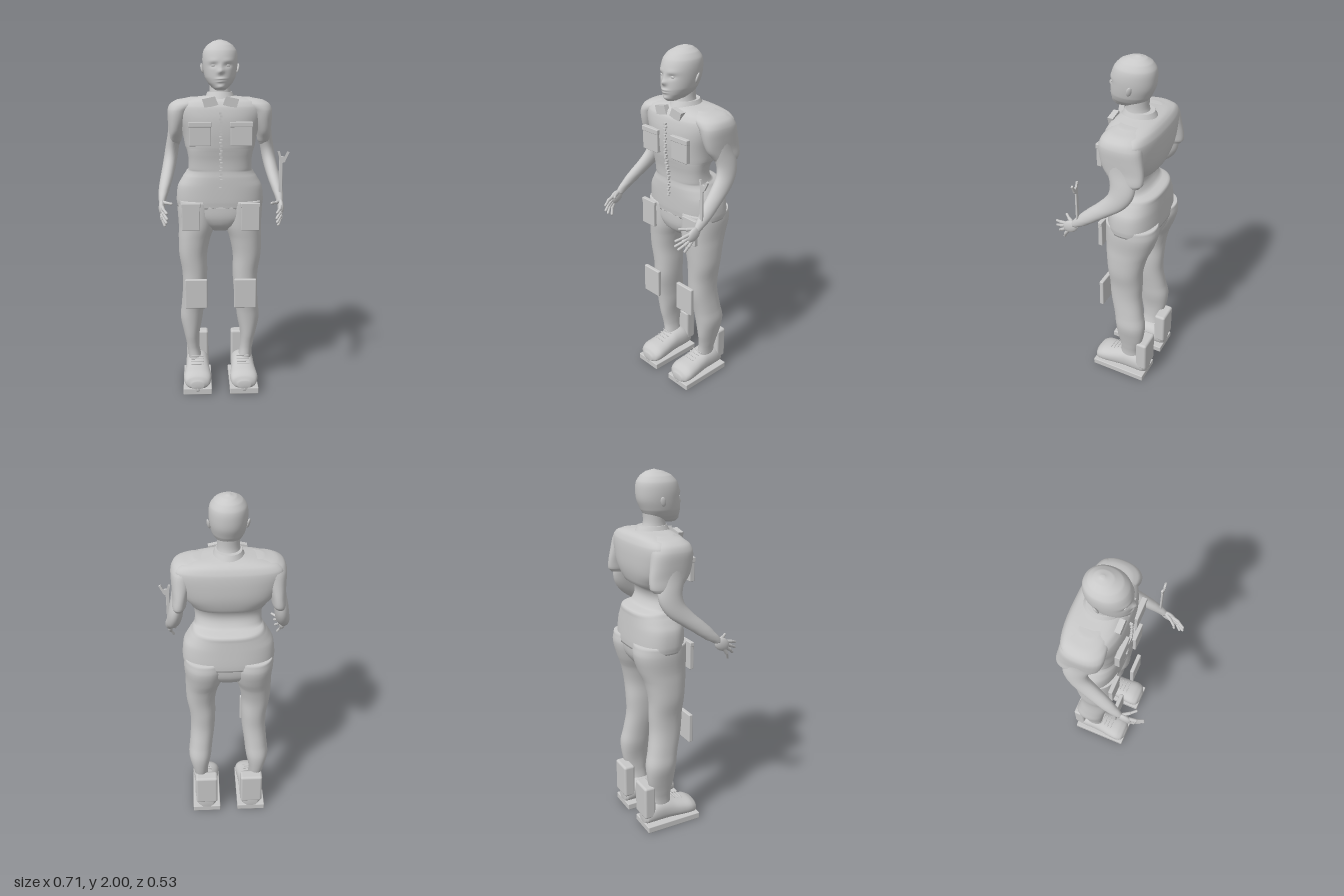
import * as THREE from 'three';
import { RoundedBoxGeometry } from 'three/addons/geometries/RoundedBoxGeometry.js';

const grey = new THREE.MeshStandardMaterial({ color: 0xc8c8c8 });
grey.name = 'plain grey';

function add(parent, name, geometry, x = 0, y = 0, z = 0) {
  const mesh = new THREE.Mesh(geometry, grey);
  mesh.name = name;
  mesh.position.set(x, y, z);
  parent.add(mesh);
  return mesh;
}

// Smooth closed skin through horizontal rings [y, centreX, halfX, backZ, frontZ], listed upwards.
function loft(rings, { power = 2, sides = 32, steps = 4, shape = null } = {}) {
  const pos = [], index = [], last = (rings.length - 1) * steps;
  const spline = (a, b, c, d, t) =>
    b + 0.5 * t * (c - a + t * (2 * a - 5 * b + 4 * c - d + t * (3 * (b - c) + d - a)));
  const at = (i) => rings[Math.max(0, Math.min(rings.length - 1, i))];
  const bend = (v) => Math.sign(v) * Math.abs(v) ** (2 / power);
  for (let r = 0; r <= last; r++) {
    const i = Math.floor(r / steps), t = r / steps - i;
    const [, cx, rx, z0, z1] = at(i).map((b, k) => spline(at(i - 1)[k], b, at(i + 1)[k], at(i + 2)[k], t));
    const y = at(i)[0] + (at(i + 1)[0] - at(i)[0]) * t;
    for (let s = 0; s < sides; s++) {
      const a = (s / sides) * Math.PI * 2;
      const p = new THREE.Vector3(cx + rx * bend(Math.cos(a)), y, (z0 + z1) / 2 + ((z1 - z0) / 2) * bend(Math.sin(a)));
      if (shape) shape(p);
      pos.push(p.x, p.y, p.z);
      if (r < last) {
        const n = (s + 1) % sides, b = r * sides, u = b + sides;
        index.push(b + s, u + s, b + n, u + s, u + n, b + n);
      }
    }
  }
  // end caps
  for (const [row, ring] of [[0, at(0)], [last, at(rings.length)]]) {
    const c = pos.length / 3;
    pos.push(ring[1], ring[0], (ring[3] + ring[4]) / 2);
    for (let s = 0; s < sides; s++) {
      const a = row * sides + s, b = row * sides + ((s + 1) % sides);
      index.push(c, ...(row ? [b, a] : [a, b]));
    }
  }
  const g = new THREE.BufferGeometry();
  g.setAttribute('position', new THREE.Float32BufferAttribute(pos, 3));
  g.setIndex(index);
  g.computeVertexNormals();
  return g;
}

const bump = (x, y, cx, cy, sx, sy) => Math.exp(-(((x - cx) / sx) ** 2) - ((y - cy) / sy) ** 2);

// Rounded rod between two points
function rod(parent, name, a, b, radius) {
  const from = new THREE.Vector3(...a), to = new THREE.Vector3(...b);
  const dir = to.clone().sub(from);
  const mesh = add(parent, name, new THREE.CapsuleGeometry(radius, dir.length(), 4, 10));
  mesh.position.copy(from).add(to).multiplyScalar(0.5);
  mesh.quaternion.setFromUnitVectors(new THREE.Vector3(0, 1, 0), dir.normalize());
  return mesh;
}

function buildHead(body) {
  // Nose, brows, eye sockets, lips and chin are raised from the front of the skull
  const face = (p) => {
    if (p.z < 0) return;
    const x = Math.abs(p.x), y = p.y;
    p.z += 0.016 * bump(x, y, 0, 1.83, 0.016, 0.013) + 0.008 * bump(x, y, 0, 1.85, 0.011, 0.022)
      + 0.004 * bump(x, y, 0.04, 1.885, 0.03, 0.012) - 0.008 * bump(x, y, 0.038, 1.862, 0.02, 0.012)
      + 0.008 * bump(x, y, 0, 1.792, 0.024, 0.006) + 0.007 * bump(x, y, 0, 1.778, 0.02, 0.005)
      + 0.006 * bump(x, y, 0, 1.75, 0.02, 0.01);
  };
  add(body, 'head', loft([
    [1.732, 0, 0.026, -0.03, 0.045], [1.745, 0, 0.045, -0.1, 0.057], [1.77, 0, 0.067, -0.13, 0.062],
    [1.8, 0, 0.083, -0.15, 0.064], [1.85, 0, 0.093, -0.17, 0.062], [1.9, 0, 0.096, -0.175, 0.058],
    [1.94, 0, 0.09, -0.17, 0.043], [1.97, 0, 0.069, -0.15, 0.015], [1.99, 0, 0.039, -0.122, -0.028],
    [2, 0, 0.008, -0.09, -0.07],
  ], { sides: 64, steps: 8, shape: face, power: 2.1 }));
  add(body, 'neck', loft([
    [1.65, 0, 0.085, -0.18, 0.0], [1.7, 0, 0.064, -0.15, -0.01], [1.74, 0, 0.057, -0.137, -0.02], [1.8, 0, 0.058, -0.14, -0.02],
  ]));
  for (const s of [-1, 1]) {
    add(body, 'eye', new THREE.SphereGeometry(0.011, 16, 10), s * 0.037, 1.861, 0.043).scale.set(1.3, 0.6, 0.7);
    const ear = add(body, 'ear', new THREE.SphereGeometry(0.027, 16, 12), s * 0.097, 1.848, -0.075);
    ear.scale.set(0.28, 1, 0.5);
    ear.rotation.set(-0.15, s * 0.5, s * -0.2);
  }
}

function buildJacket(body) {
  // The shoulder blades are broad and flat
  const blades = (p) => {
    const rise = THREE.MathUtils.smoothstep(p.y, 1.41, 1.5) * THREE.MathUtils.smoothstep(-p.z, 0.1, 0.23);
    p.x *= 1 + 0.3 * rise;
  };
  add(body, 'jacket', loft([
    [1.08, 0, 0.243, -0.252, 0.029], [1.12, 0, 0.247, -0.252, 0.033], [1.2, 0, 0.238, -0.246, 0.035],
    [1.255, 0, 0.207, -0.241, 0.035], [1.285, 0, 0.188, -0.235, 0.032], [1.3, 0, 0.178, -0.18, 0.032],
    [1.35, 0, 0.176, -0.155, 0.036], [1.4, 0, 0.184, -0.168, 0.045], [1.425, 0, 0.195, -0.215, 0.05],
    [1.5, 0, 0.21, -0.238, 0.057], [1.58, 0, 0.238, -0.242, 0.057], [1.64, 0, 0.25, -0.237, 0.046],
    [1.672, 0, 0.225, -0.222, 0.026], [1.69, 0, 0.15, -0.2, 0], [1.703, 0, 0.06, -0.15, -0.03],
  ], { power: 2.5, sides: 56, shape: blades }));
  // standing collar and its two front flaps
  const collar = add(body, 'collar', new THREE.CylinderGeometry(0.068, 0.085, 0.035, 32), 0, 1.703, -0.09);
  collar.scale.z = 1.15;
  for (const s of [-1, 1]) {
    const shape = new THREE.Shape([[0.012, 1.655], [0.085, 1.635], [0.1, 1.685], [0.03, 1.7]]
      .map(([x, y]) => new THREE.Vector2(s * x, y)));
    add(body, 'collarFlap', new THREE.ExtrudeGeometry(shape, { depth: 0.03, bevelEnabled: false }), 0, 0, 0.012);
    // chest pocket with flap
    add(body, 'chestPocket', new RoundedBoxGeometry(0.118, 0.115, 0.028, 2, 0.004), s * 0.112, 1.494, 0.056);
    add(body, 'chestPocketFlap', new RoundedBoxGeometry(0.125, 0.028, 0.028, 2, 0.004), s * 0.112, 1.552, 0.06);
  }
  // zip
  for (let i = 0; i < 27; i++) {
    const y = 1.2 + i * 0.0158, z = 0.043 + 0.022 * Math.min(1, Math.max(0, (y - 1.3) / 0.15));
    add(body, 'zipTooth', new THREE.BoxGeometry(0.014, 0.009, 0.03), i % 2 ? 0.003 : -0.003, y, z - 0.013);
  }
}

function buildArm(body, s) {
  add(body, 'arm', loft([
    [1.135, s * 0.318, 0.017, 0.1, 0.15], [1.16, s * 0.317, 0.022, 0.055, 0.14], [1.195, s * 0.311, 0.029, 0.005, 0.11],
    [1.24, s * 0.301, 0.034, -0.06, 0.068], [1.3, s * 0.288, 0.037, -0.142, 0.002], [1.36, s * 0.277, 0.038, -0.185, -0.05],
    [1.42, s * 0.267, 0.038, -0.197, -0.06], [1.5, s * 0.251, 0.04, -0.185, -0.035], [1.58, s * 0.24, 0.048, -0.18, -0.025],
  ], { sides: 24 }));
  // short sleeve running over the shoulder into the jacket
  add(body, 'sleeve', loft([
    [1.43, s * 0.256, 0.03, -0.215, -0.07], [1.45, s * 0.253, 0.037, -0.232, -0.05], [1.5, s * 0.246, 0.041, -0.232, -0.01],
    [1.56, s * 0.237, 0.053, -0.222, 0.01], [1.62, s * 0.225, 0.066, -0.212, 0.018], [1.655, s * 0.192, 0.085, -0.204, 0.012],
    [1.678, s * 0.155, 0.085, -0.185, -0.012], [1.692, s * 0.115, 0.055, -0.15, -0.045],
  ], { sides: 28, power: 2.3 }));
  // palm, four fingers and thumb
  const palm = add(body, 'palm', new THREE.SphereGeometry(0.045, 18, 12), s * 0.319, 1.119, 0.155);
  palm.scale.set(0.38, 0.78, 1.05);
  palm.rotation.x = 0.55;
  const fingers = [
    [[0.315, 1.128, 0.185], [0.308, 1.12, 0.22], [0.29, 1.106, 0.255]],
    [[0.316, 1.113, 0.186], [0.307, 1.096, 0.22], [0.288, 1.076, 0.256]],
    [[0.319, 1.1, 0.18], [0.312, 1.077, 0.21], [0.293, 1.052, 0.238]],
    [[0.321, 1.09, 0.168], [0.317, 1.062, 0.188], [0.303, 1.03, 0.203]],
    [[0.312, 1.145, 0.145], [0.291, 1.146, 0.178], [0.266, 1.148, 0.206]],
  ];
  fingers.forEach((pts, i) => {
    const name = i === 4 ? 'thumb' : 'finger';
    const [a, b, c] = pts.map(([x, y, z]) => [s * x, y, z]);
    rod(body, name + 'Base', a, b, 0.0095);
    rod(body, name + 'Tip', b, c, 0.0075);
  });
}

function buildLeg(body, s) {
  add(body, 'trouserLeg', loft([
    [0.1, s * 0.142, 0.045, -0.19, -0.06], [0.17, s * 0.152, 0.037, -0.18, -0.068], [0.22, s * 0.16, 0.037, -0.187, -0.068],
    [0.3, s * 0.167, 0.046, -0.21, -0.053], [0.4, s * 0.168, 0.065, -0.22, -0.042], [0.48, s * 0.16, 0.066, -0.204, -0.03],
    [0.6, s * 0.148, 0.069, -0.186, -0.004], [0.7, s * 0.147, 0.073, -0.188, 0.002], [0.8, s * 0.155, 0.081, -0.192, 0.01],
    [0.9, s * 0.146, 0.092, -0.212, 0.02], [0.97, s * 0.132, 0.105, -0.24, 0.028], [1.06, s * 0.126, 0.117, -0.264, 0.03],
    [1.12, s * 0.125, 0.115, -0.256, 0.03],
  ], { power: 2.2 }));
  add(body, 'thighPocket', new RoundedBoxGeometry(0.1, 0.14, 0.024, 2, 0.004), s * 0.166, 1.032, 0.034);
  add(body, 'thighPocketFlap', new RoundedBoxGeometry(0.108, 0.022, 0.024, 2, 0.004), s * 0.166, 1.105, 0.034);
  add(body, 'kneePad', new RoundedBoxGeometry(0.125, 0.17, 0.024, 2, 0.006), s * 0.139, 0.595, 0.043);

  // boot: rings run along the foot, so the skin is laid forwards
  const boot = loft([
    [-0.235, 0, 0.04, -0.11, -0.03], [-0.22, 0, 0.06, -0.135, -0.03], [-0.17, 0, 0.068, -0.165, -0.03],
    [-0.1, 0, 0.068, -0.165, -0.03], [-0.05, 0, 0.071, -0.15, -0.03], [0, 0, 0.077, -0.138, -0.03],
    [0.05, 0, 0.08, -0.128, -0.03], [0.085, 0, 0.068, -0.108, -0.03], [0.102, 0, 0.035, -0.08, -0.035],
  ], { power: 2.3 });
  boot.rotateX(Math.PI / 2);
  add(body, 'boot', boot, s * 0.135);
  add(body, 'sole', new RoundedBoxGeometry(0.165, 0.038, 0.335, 2, 0.005), s * 0.135, 0.019, -0.068);
  add(body, 'toeBumper', new THREE.SphereGeometry(0.024, 16, 10), s * 0.135, 0.032, 0.085).scale.z = 0.75;
  for (let i = 0; i < 4; i++) {
    rod(body, 'lace', [s * 0.135 - 0.035, 0.145 + i * 0.008, -i * 0.022], [s * 0.135 + 0.035, 0.145 + i * 0.008, -i * 0.022], 0.003);
  }
  add(body, 'ankleBox', new RoundedBoxGeometry(0.13, 0.2, 0.068, 3, 0.014), s * 0.134, 0.182, -0.213);
}

// Open-ended spanner in the left hand
function buildSpanner(model) {
  const tool = new THREE.Group();
  tool.name = 'spanner';
  tool.position.set(0.312, 0, 0.106);
  add(tool, 'handle', new RoundedBoxGeometry(0.02, 0.24, 0.011, 2, 0.003), 0, 1.255, 0);
  for (const [x, tilt] of [[-0.006, 0.25], [0.03, -0.45]]) {
    add(tool, 'jaw', new THREE.BoxGeometry(0.012, 0.046, 0.011), x, 1.388, 0).rotation.z = tilt;
  }
  add(tool, 'jawRoot', new THREE.CylinderGeometry(0.018, 0.018, 0.011, 18), 0.008, 1.368, 0).rotation.x = Math.PI / 2;
  model.add(tool);
}

export function createModel() {
  const model = new THREE.Group();
  model.name = 'workerFigure';
  const body = new THREE.Group();
  body.name = 'body';
  body.position.x = -0.01;
  model.add(body);
  buildHead(body);
  buildJacket(body);
  for (const s of [-1, 1]) {
    buildArm(body, s);
    buildLeg(body, s);
  }
  // seat of the trousers
  add(body, 'trouserSeat', loft([
    [0.945, 0, 0.05, -0.16, -0.03], [0.98, 0, 0.12, -0.21, 0.01], [1.03, 0, 0.2, -0.24, 0.028], [1.1, 0, 0.235, -0.248, 0.03],
  ], { power: 2.5 }));
  buildSpanner(model);
  return model;
}
